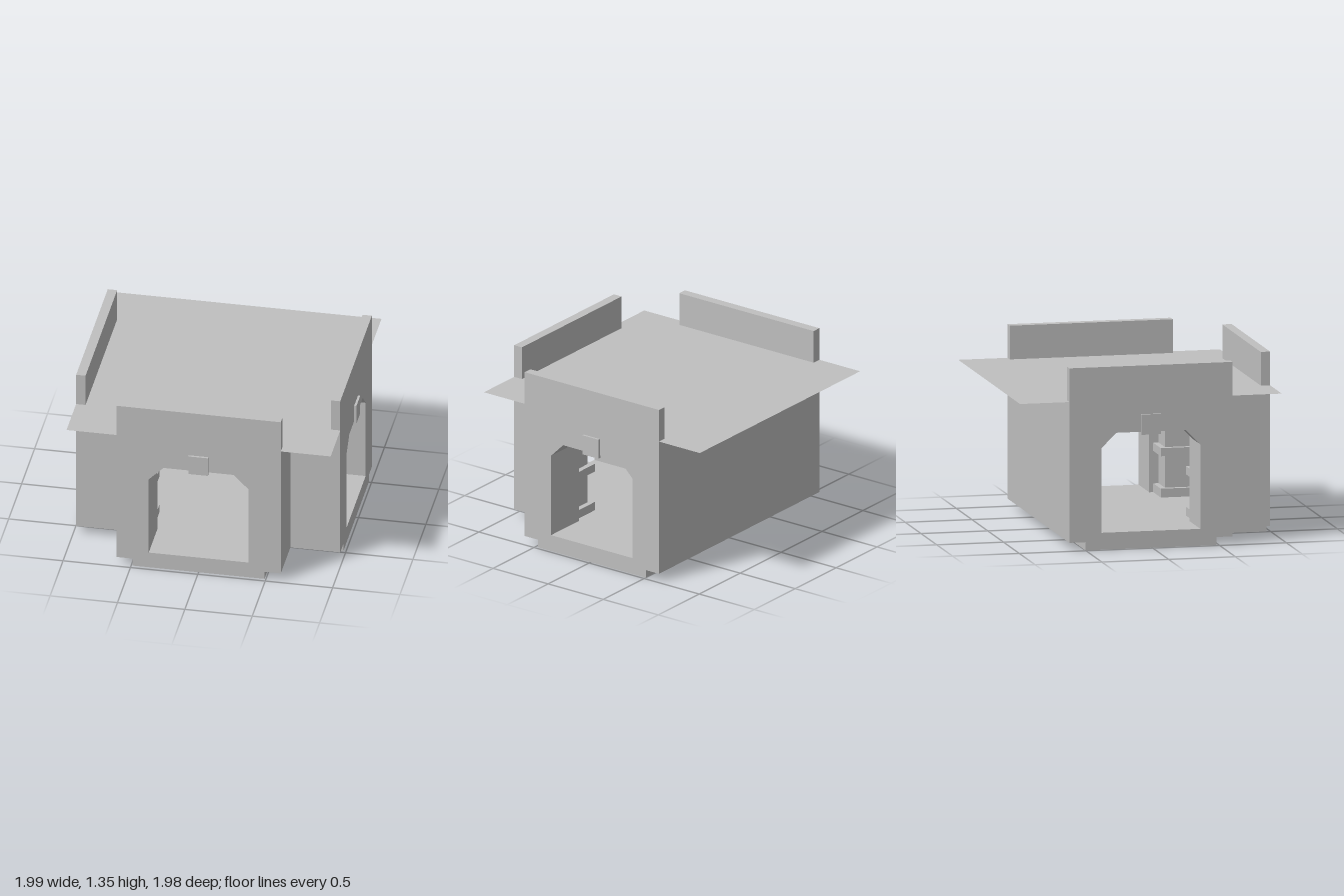
import * as THREE from 'three';

export function createModel() {
  const model = new THREE.Group();
  model.name = 'corridorJunction';

  const stone = new THREE.MeshStandardMaterial({ color: 0xc0c0c0, side: THREE.DoubleSide });
  stone.name = 'grey stone';

  function add(parent, name, geometry) {
    const mesh = new THREE.Mesh(geometry, stone);
    mesh.name = name;
    parent.add(mesh);
    return mesh;
  }

  // Box given by its limits on each axis
  function box(parent, name, x0, x1, y0, y1, z0, z1) {
    const mesh = add(parent, name, new THREE.BoxGeometry(Math.abs(x1 - x0), y1 - y0, z1 - z0));
    mesh.position.set((x0 + x1) / 2, (y0 + y1) / 2, (z0 + z1) / 2);
    return mesh;
  }

  // Upright prism from a floor plan of [x, z] points
  function prism(name, plan, y0, y1) {
    const shape = new THREE.Shape(plan.map(([x, z]) => new THREE.Vector2(x, -z)));
    const geometry = new THREE.ExtrudeGeometry(shape, { depth: y1 - y0, bevelEnabled: false });
    geometry.rotateX(-Math.PI / 2).translate(0, y0, 0);
    return add(model, name, geometry);
  }

  // T-shaped plan with one arm to the front and one to each side
  const tPlan = (armX, back, sideFront, front) => [
    [-0.98, back], [0.98, back], [0.98, sideFront], [armX, sideFront],
    [armX, front], [-armX, front], [-armX, sideFront], [-0.98, sideFront],
  ];
  prism('base', tPlan(0.49, -0.5, 0.48, 0.97), 0, 0.07);
  prism('floor', tPlan(0.61, -0.62, 0.6, 0.97), 0.06, 0.125);

  // Wall with a chamfered door opening, facing local +z
  function wallLayer(top, depth, z) {
    const shape = new THREE.Shape([
      [-0.61, 0.06], [0.61, 0.06], [0.61, top], [-0.61, top],
    ].map((p) => new THREE.Vector2(...p)));
    shape.holes.push(new THREE.Path([
      [-0.37, 0.125], [-0.37, 0.75], [-0.26, 0.86], [0.26, 0.86], [0.37, 0.75], [0.37, 0.125],
    ].map((p) => new THREE.Vector2(...p))));
    const geometry = new THREE.ExtrudeGeometry(shape, { depth, bevelEnabled: false });
    return geometry.translate(0, 0, z);
  }

  function doorway(name, distance, turn, z) {
    const group = new THREE.Group();
    group.name = name;
    add(group, 'doorWall', wallLayer(1.35, 0.07, distance - 0.07));
    add(group, 'doorPassage', wallLayer(1.1, 0.17, distance - 0.24));
    box(group, 'keystone', -0.073, 0.073, 0.84, 0.99, distance - 0.01, distance + 0.017);
    group.rotation.y = turn;
    group.position.z = z;
    model.add(group);
  }
  doorway('frontDoorway', 0.97, 0, 0);
  doorway('leftDoorway', 0.98, Math.PI / 2, -0.01);
  doorway('rightDoorway', 0.98, -Math.PI / 2, -0.01);

  // Back wall with pilasters at its ends
  prism('backWall', [
    [-0.74, -0.62], [0.74, -0.62], [0.74, -0.38], [0.64, -0.38],
    [0.64, -0.45], [-0.64, -0.45], [-0.64, -0.38], [-0.74, -0.38],
  ], 0.06, 1.1);
  box(model, 'backPillar', -0.073, 0.073, 0.12, 1.1, -0.46, -0.39);
  box(model, 'backSkirting', -0.64, 0.64, 0.12, 0.19, -0.46, -0.41);
  box(model, 'backRail', -0.64, -0.3, 0.43, 0.49, -0.46, -0.41);
  box(model, 'backRail', 0.38, 0.64, 0.43, 0.49, -0.46, -0.41);

  // Corner blocks between the front and side passages
  for (const s of [-1, 1]) {
    prism('cornerBlock', [
      [0.61, 0.74], [0.37, 0.74], [0.37, 0.64], [0.44, 0.64], [0.44, 0.43],
      [0.64, 0.43], [0.64, 0.36], [0.74, 0.36], [0.74, 0.6], [0.61, 0.6],
    ].map(([x, z]) => [s * x, z]), 0.06, 1.1);
    for (const [name, y0, y1] of [['cornerSkirting', 0.12, 0.19], ['cornerRail', 0.43, 0.49]]) {
      box(model, name, s * 0.4, s * 0.64, y0, y1, 0.39, 0.44);
      box(model, name, s * 0.4, s * 0.45, y0, y1, 0.39, 0.64);
    }
  }

  // Flat roof sheet overhanging the plan
  const roof = add(model, 'roof', new THREE.PlaneGeometry(1.96, 1.96).rotateX(-Math.PI / 2));
  roof.position.set(0, 1.101, -0.01);

  // Loose rubble in the back corner
  for (const [x, z, size, turn] of [[-0.29, -0.34, 0.05, 0.5], [-0.35, -0.35, 0.035, 1.1]]) {
    const rubble = add(model, 'rubble', new THREE.BoxGeometry(size * 1.4, size, size));
    rubble.position.set(x, 0.125 + size / 2, z);
    rubble.rotation.set(0.1, turn, 0.2);
  }

  return model;
}
